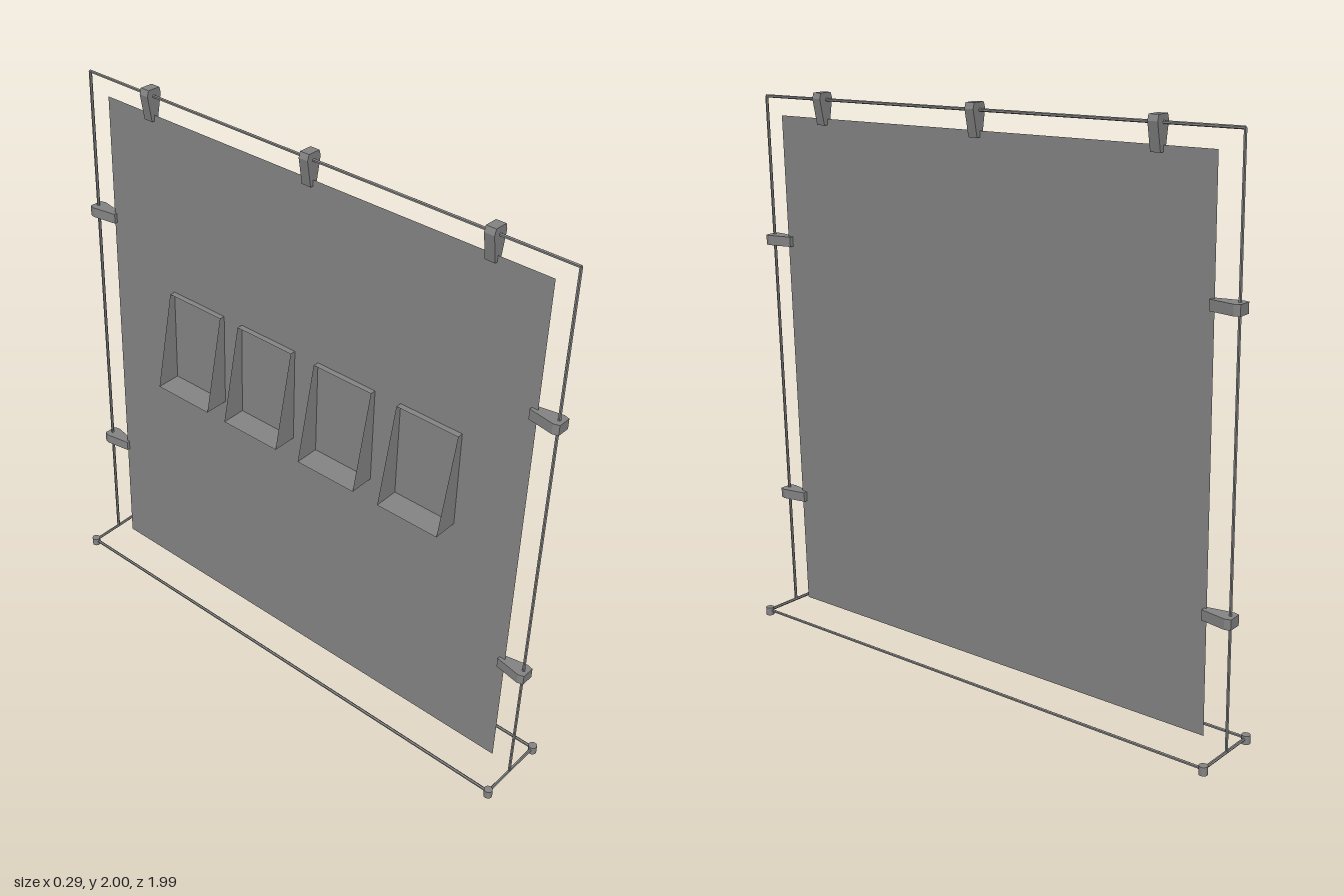
import * as THREE from 'three';

const GREY = 0x858585;
const metal = new THREE.MeshStandardMaterial({ color: GREY });
const flat = new THREE.MeshStandardMaterial({ color: GREY, flatShading: true });
const sheet = new THREE.MeshStandardMaterial({ color: GREY, flatShading: true, side: THREE.DoubleSide });

const HALF = 0.977;   // half spacing of the posts
const BASE_Y = 0.018; // height of the base rods
const LEAN = 0.028;   // slope of the leaning frame

function add(parent, name, geometry, material) {
  const mesh = new THREE.Mesh(geometry, material);
  mesh.name = name;
  parent.add(mesh);
  return mesh;
}

// Thin six-sided rod between two points
function rod(parent, name, a, b) {
  const p = new THREE.Vector3(...a), q = new THREE.Vector3(...b);
  const dir = q.clone().sub(p);
  const mesh = add(parent, name, new THREE.CylinderGeometry(0.0055, 0.0055, dir.length(), 6), flat);
  mesh.position.copy(p).add(q).multiplyScalar(0.5);
  mesh.quaternion.setFromUnitVectors(new THREE.Vector3(0, 1, 0), dir.normalize());
}

// Tapered clip: wide bevelled outer end at y = 0, jaws pointing down
function clipGeometry() {
  const s = new THREE.Shape([
    [-0.013, -0.112], [0.013, -0.112], [0.03, -0.02], [0.024, 0], [-0.024, 0], [-0.03, -0.02],
  ].map(([x, y]) => new THREE.Vector2(x, y)));
  return new THREE.ExtrudeGeometry(s, { depth: 0.036, bevelEnabled: false }).translate(0, 0, -0.018);
}

// Wedge tray, open on its sloping outer face
function pocketGeometry(w) {
  const profile = [[0.025, 1.27], [0.004, 1.27], [-0.074, 0.919], [0.017, 0.919]];
  const pos = [-w / 2, w / 2].flatMap((z) => profile.flatMap(([x, y]) => [x, y, z]));
  const quads = [[3, 2, 1, 0], [4, 5, 6, 7], [0, 1, 5, 4], [2, 3, 7, 6]];
  const g = new THREE.BufferGeometry();
  g.setAttribute('position', new THREE.Float32BufferAttribute(pos, 3));
  g.setIndex(quads.flatMap(([a, b, c, d]) => [a, b, c, a, c, d]));
  const out = g.toNonIndexed();
  out.computeVertexNormals();
  return out;
}

export function createModel() {
  const model = new THREE.Group();
  model.name = 'displayStand';

  // Rectangular base with a foot at each corner
  const base = new THREE.Group();
  base.name = 'base';
  model.add(base);
  for (const s of [-1, 1]) {
    rod(base, 'longBaseRod', [s * 0.13, BASE_Y, -HALF], [s * 0.13, BASE_Y, HALF]);
    rod(base, 'crossBaseRod', [-0.13, BASE_Y, s * HALF], [0.13, BASE_Y, s * HALF]);
    for (const t of [-1, 1]) {
      add(base, 'foot', new THREE.CylinderGeometry(0.015, 0.015, 0.03, 16), metal)
        .position.set(s * 0.13, 0.015, t * HALF);
    }
  }

  // Leaning frame: two posts and a top rod
  const frame = new THREE.Group();
  frame.name = 'leaningFrame';
  frame.position.set(-0.008, BASE_Y, 0);
  frame.rotation.z = -Math.atan(LEAN);
  model.add(frame);
  const top = 1.957;
  for (const s of [-1, 1]) rod(frame, 'post', [0, 0, s * HALF], [0, top, s * HALF]);
  rod(frame, 'topRod', [0, top, -HALF], [0, top, HALF]);

  // Hanging panel
  const panel = add(frame, 'panel', new THREE.PlaneGeometry(1.796, 1.863), sheet);
  panel.rotation.y = Math.PI / 2;
  panel.position.set(0, 0.96, 0.006);

  // Clips along the top and both sides
  const clip = clipGeometry();
  for (const z of [-0.688, 0.006, 0.694]) {
    add(frame, 'topClip', clip, flat).position.set(0.002, 1.982, z);
  }
  for (const s of [-1, 1]) {
    for (const y of [0.452, 1.439]) {
      const c = add(frame, 'sideClip', clip, flat);
      c.rotation.x = s * Math.PI / 2;
      c.position.set(0.002, y, s * 0.994);
    }
  }

  // Row of leaflet pockets
  const pocket = pocketGeometry(0.241);
  for (const z of [-0.478, -0.154, 0.188, 0.533]) {
    add(model, 'pocket', pocket, sheet).position.z = z;
  }
  return model;
}
